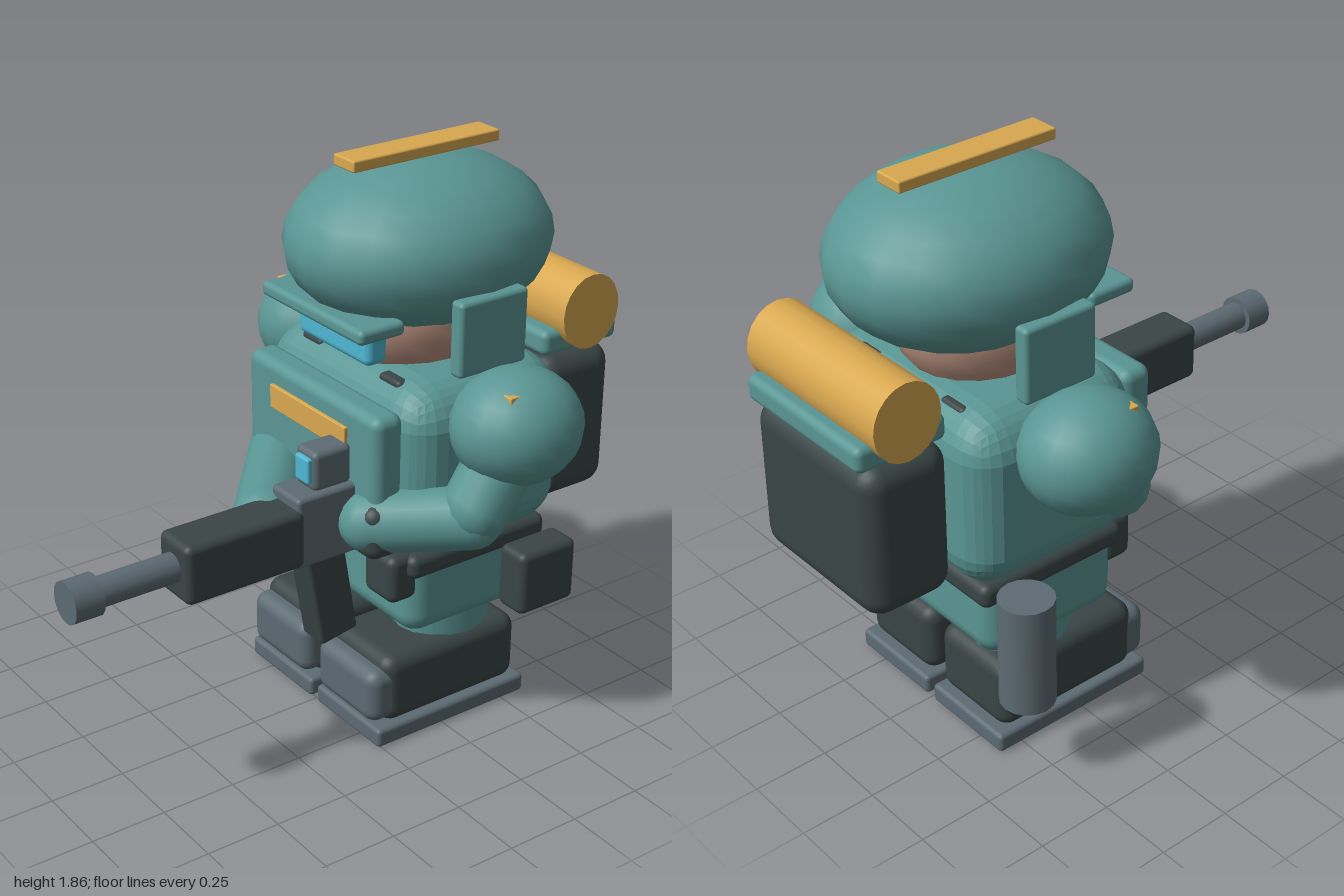
import * as THREE from 'three';
import { RoundedBoxGeometry } from 'three/addons/geometries/RoundedBoxGeometry.js';

const mat = (name, color) => {
  const m = new THREE.MeshStandardMaterial({ color });
  m.name = name;
  return m;
};

export function createModel() {
  const teal = mat('teal', 0x5a9694);
  const dark = mat('charcoal', 0x3a4545);
  const gray = mat('steel gray', 0x5d6b73);
  const gold = mat('gold', 0xd9a850);
  const cyan = mat('cyan glass', 0x4fb8d4);
  const skin = mat('skin', 0xb9917f);

  const model = new THREE.Group();
  model.name = 'soldier';

  const add = (name, geometry, material, x, y, z) => {
    const mesh = new THREE.Mesh(geometry, material);
    mesh.name = name;
    mesh.position.set(x, y, z);
    model.add(mesh);
    return mesh;
  };
  // rounded box given by its extents on each axis
  const box = (name, material, [x0, x1], [y0, y1], [z0, z1], r = 0.015) =>
    add(name, new RoundedBoxGeometry(x1 - x0, y1 - y0, z1 - z0, 3, r), material,
      (x0 + x1) / 2, (y0 + y1) / 2, (z0 + z1) / 2);
  // the same box on both sides of the body
  const pair = (name, material, [x0, x1], ys, zs, r) => {
    box(name + 'Left', material, [x0, x1], ys, zs, r);
    box(name + 'Right', material, [-x1, -x0], ys, zs, r);
  };
  const ball = (name, material, x, y, z, rx, ry, rz) =>
    add(name, new THREE.SphereGeometry(1, 20, 14), material, x, y, z).scale.set(rx, ry, rz);
  // rounded limb between two points
  const limb = (name, material, a, b, r) => {
    const p = new THREE.Vector3(...a), q = new THREE.Vector3(...b);
    const dir = q.clone().sub(p);
    const mid = p.clone().add(q).multiplyScalar(0.5);
    const mesh = add(name, new THREE.CapsuleGeometry(r, dir.length(), 6, 14), material, mid.x, mid.y, mid.z);
    mesh.quaternion.setFromUnitVectors(new THREE.Vector3(0, 1, 0), dir.normalize());
  };

  // boots and legs
  pair('sole', gray, [0.015, 0.36], [0, 0.065], [-0.59, 0.015], 0.015);
  pair('boot', dark, [0.022, 0.348], [0.06, 0.3], [-0.565, -0.025], 0.05);
  pair('toeCap', gray, [0.03, 0.342], [0.075, 0.262], [-0.1, 0.03], 0.045);
  for (const s of [1, -1]) {
    add('leg', new THREE.CylinderGeometry(0.15, 0.14, 0.3, 16), teal, s * 0.185, 0.36, -0.365).scale.z = 1.18;
  }

  // body
  box('pelvis', teal, [-0.353, 0.353], [0.355, 0.66], [-0.61, -0.11], 0.07);
  const torso = box('torso', teal, [-0.425, 0.425], [0.63, 1.22], [-0.69, -0.06], 0.13);
  const pos = torso.geometry.attributes.position;
  // narrow the torso towards waist and neck
  for (let i = 0; i < pos.count; i++) {
    const t = pos.getY(i) / 0.295;
    const k = 1 - 0.08 * t * t;
    pos.setX(i, pos.getX(i) * k);
    pos.setZ(i, pos.getZ(i) * (1 - 0.04 * t * t));
  }
  torso.geometry.computeVertexNormals();
  box('chestPlate', teal, [-0.345, 0.345], [0.71, 1.155], [-0.08, 0.03], 0.035);
  box('chestLabel', gold, [-0.2, 0.2], [1.005, 1.085], [0.02, 0.042], 0.004);

  // belt and gear
  box('belt', dark, [-0.37, 0.37], [0.575, 0.657], [-0.645, -0.1], 0.03);
  box('buckle', gray, [-0.06, 0.06], [0.575, 0.657], [-0.12, -0.08], 0.01);
  pair('beltPouch', dark, [0.19, 0.342], [0.497, 0.66], [-0.15, -0.04], 0.03);
  box('sidePouch', dark, [0.4, 0.52], [0.415, 0.633], [-0.645, -0.42], 0.025);
  add('canister', new THREE.CylinderGeometry(0.087, 0.087, 0.37, 16), gray, -0.482, 0.485, -0.58);

  // backpack with lid and bedroll
  box('backpack', dark, [-0.29, 0.29], [0.64, 1.147], [-0.978, -0.68], 0.07);
  box('backpackLid', teal, [-0.275, 0.275], [1.155, 1.24], [-0.995, -0.685], 0.025);
  box('lidHinge', dark, [-0.22, 0.22], [1.13, 1.165], [-0.95, -0.72], 0.01);
  const roll = add('bedroll', new THREE.CylinderGeometry(0.115, 0.115, 0.615, 20), gold, 0, 1.29, -0.845);
  roll.rotation.z = Math.PI / 2;
  roll.scale.x = 1.09;

  // head and helmet
  ball('head', skin, 0, 1.35, -0.35, 0.255, 0.24, 0.275);
  add('neck', new THREE.CylinderGeometry(0.2, 0.2, 0.16, 18), skin, 0, 1.19, -0.36);
  pair('chinStrap', dark, [0.15, 0.255], [1.155, 1.212], [-0.62, -0.12], 0.015);
  box('visor', cyan, [-0.183, 0.183], [1.247, 1.367], [-0.137, -0.055], 0.025);
  ball('helmet', teal, 0, 1.555, -0.385, 0.384, 0.27, 0.445);
  box('helmetBrim', teal, [-0.262, 0.262], [1.365, 1.413], [-0.14, 0.03], 0.018);
  pair('earFlap', teal, [0.342, 0.398], [1.24, 1.483], [-0.5, -0.24], 0.015);
  box('helmetRidge', gold, [-0.052, 0.052], [1.82, 1.857], [-0.655, -0.095], 0.006);

  // shoulders and arms
  for (const s of [1, -1]) ball('shoulder', teal, s * 0.512, 1.103, -0.372, 0.196, 0.183, 0.213);
  pair('shoulderTab', gold, [0.45, 0.605], [1.215, 1.252], [-0.4, -0.265], 0.004);
  limb('leftUpperArm', teal, [0.52, 1.08, -0.36], [0.51, 0.87, -0.23], 0.108);
  limb('leftForearm', teal, [0.5, 0.83, -0.22], [0.28, 0.79, 0], 0.1);
  limb('rightUpperArm', teal, [-0.5, 1.06, -0.36], [-0.34, 0.79, -0.11], 0.108);
  limb('rightForearm', teal, [-0.3, 0.79, -0.07], [0.08, 0.785, 0.25], 0.108);
  box('leftGlove', dark, [0.225, 0.375], [0.692, 0.872], [-0.1, 0.065], 0.045);
  box('rightGlove', dark, [0.04, 0.2], [0.675, 0.87], [0.2, 0.34], 0.045);

  // rifle
  const gx = 0.168, gy = 0.785;
  box('receiver', gray, [0.095, 0.242], [0.675, 0.912], [-0.03, 0.24], 0.015);
  box('handguard', dark, [0.087, 0.25], [0.68, 0.877], [0.215, 0.64], 0.025);
  for (const [name, r, z0, z1] of [['barrel', 0.048, 0.6, 0.92], ['muzzle', 0.067, 0.905, 1]]) {
    add(name, new THREE.CylinderGeometry(r, r, z1 - z0, 16), gray, gx, gy, (z0 + z1) / 2).rotation.x = Math.PI / 2;
  }
  box('optic', gray, [0.115, 0.22], [0.905, 1.037], [0.025, 0.165], 0.02);
  box('opticLens', cyan, [0.135, 0.204], [0.932, 1.017], [0.15, 0.18], 0.008);
  box('magazine', dark, [0.114, 0.222], [0.37, 0.7], [0.025, 0.165], 0.012).rotation.x = 0.17;

  return model;
}
